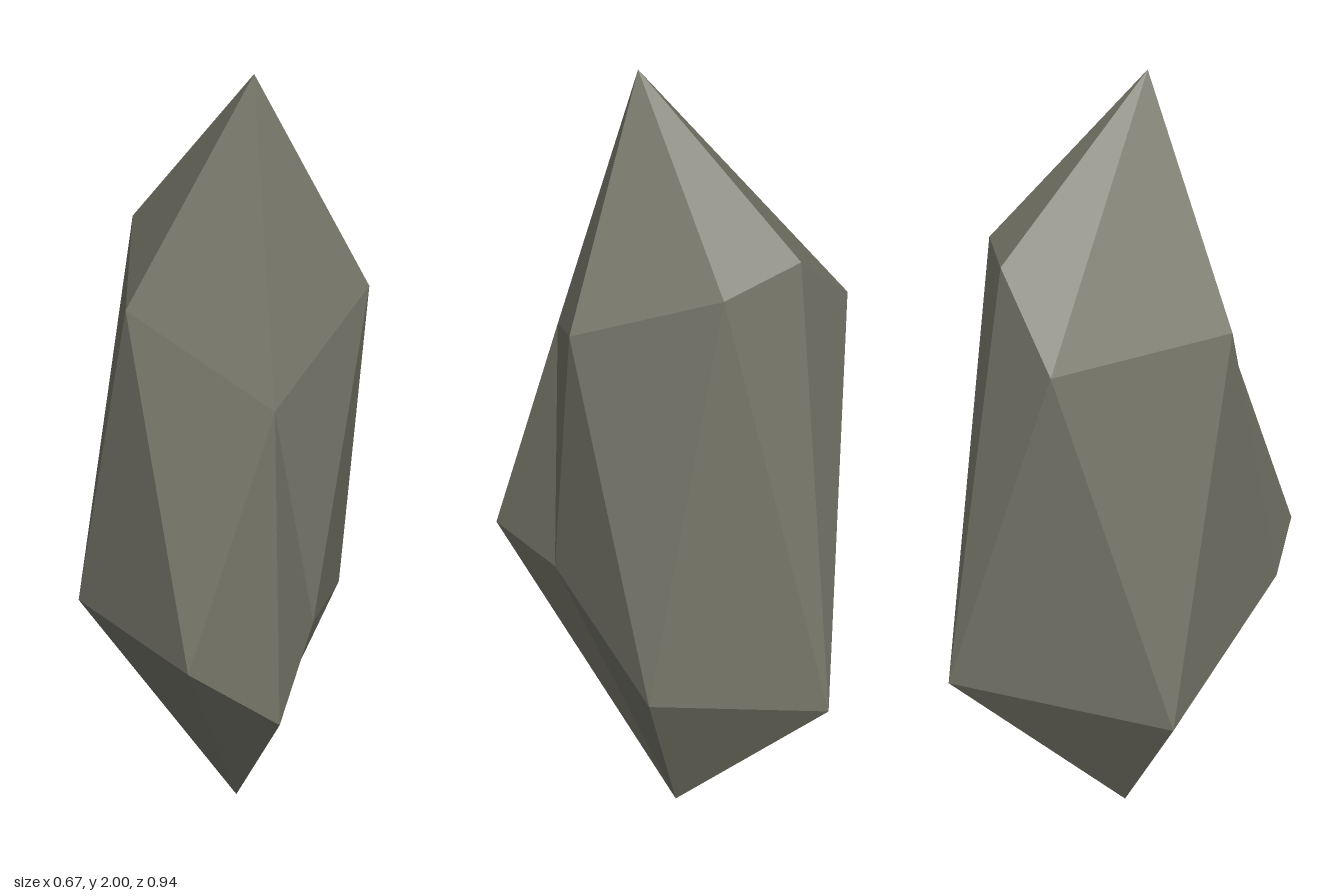
import * as THREE from 'three';

// Pointed stone shard: two uneven six-sided rings closed by a tip at each end.
const tip = [0.09, 2, 0.048];
const base = [0.057, 0, -0.018];
const upper = [
  [0.145, 1.64, -0.285], [0.333, 1.505, -0.02], [0.17, 1.34, 0.248],
  [-0.16, 1.5, 0.157], [-0.225, 1.505, -0.255], [-0.04, 1.67, -0.306],
];
const lower = [
  [0.28, 0.575, -0.198], [0.258, 0.74, 0.178], [0.222, 0.68, 0.47],
  [0, 0.69, 0.348], [-0.333, 0.577, -0.02], [-0.022, 0.577, -0.47],
];
// Which opposite-ring corner each ring edge joins to
const aboveLowerEdge = [1, 2, 2, 3, 4, 0];
const belowUpperEdge = [0, 1, 3, 4, 5, 5];

export function createModel() {
  const stone = new THREE.MeshStandardMaterial({ color: 0x77776a, flatShading: true });
  stone.name = 'grey stone';

  const points = [];
  const face = (a, b, c) => points.push(...a, ...b, ...c);
  for (let i = 0; i < 6; i++) {
    const j = (i + 1) % 6;
    face(tip, upper[j], upper[i]);                              // crown
    face(upper[i], upper[j], lower[belowUpperEdge[i]]);         // sides
    face(lower[j], lower[i], upper[aboveLowerEdge[i]]);
    face(base, lower[i], lower[j]);                             // root
  }
  const geometry = new THREE.BufferGeometry();
  geometry.setAttribute('position', new THREE.Float32BufferAttribute(points, 3));
  geometry.computeVertexNormals();

  const shard = new THREE.Mesh(geometry, stone);
  shard.name = 'stoneShard';
  const group = new THREE.Group();
  group.name = 'stone';
  group.add(shard);
  return group;
}
